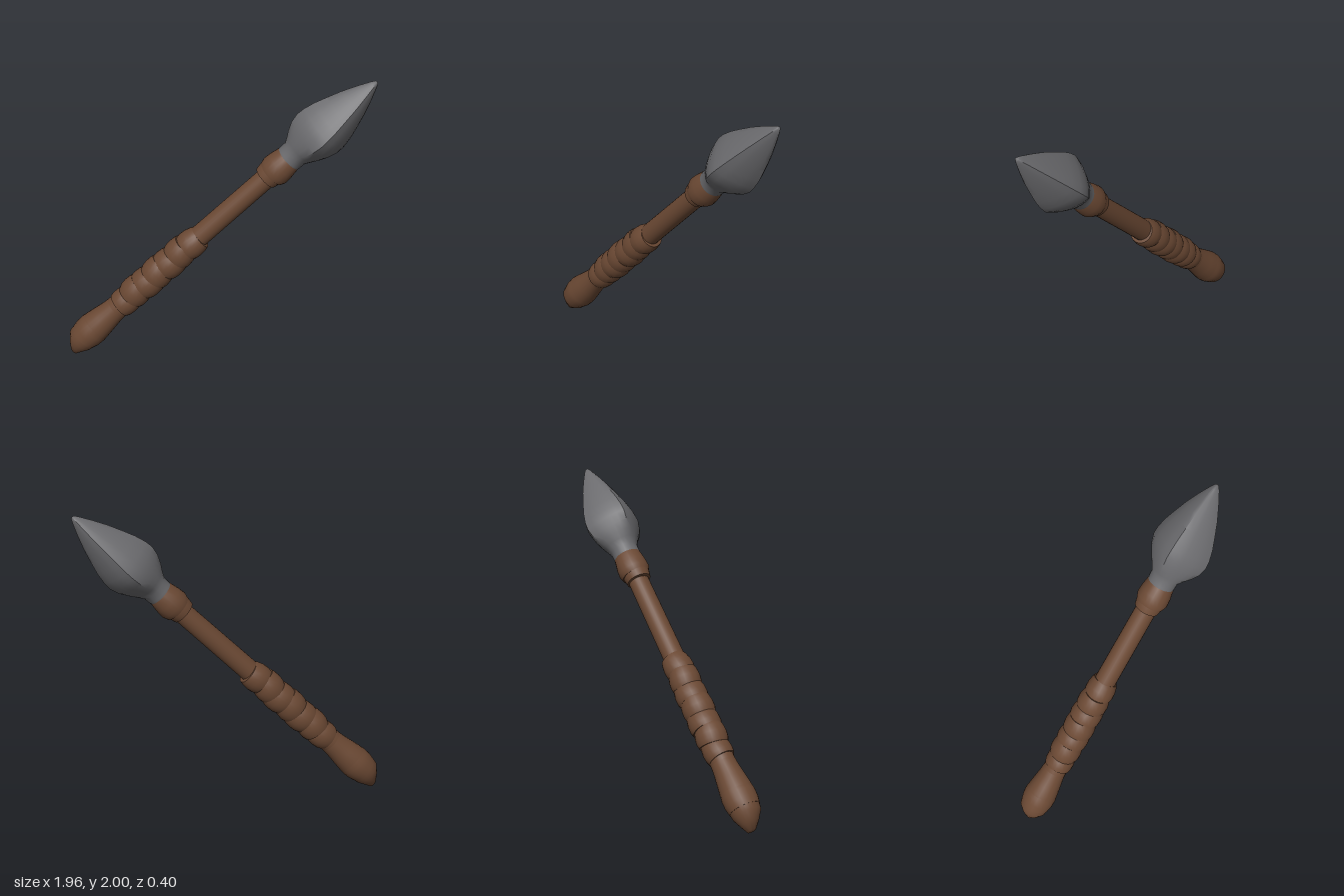
import * as THREE from 'three';
import { mergeVertices, toCreasedNormals } from 'three/addons/utils/BufferGeometryUtils.js';

const SIDES = 24;

// Turned part from [radius, height] pairs, with an optional vertex rule
function turned(profile, rule, crease = 0.7) {
  let geo = new THREE.LatheGeometry(profile.map(([r, y]) => new THREE.Vector2(r, y)), SIDES);
  geo.deleteAttribute('uv');
  geo.deleteAttribute('normal');
  if (rule) {
    const p = geo.attributes.position;
    const v = new THREE.Vector3();
    for (let i = 0; i < p.count; i++) {
      v.fromBufferAttribute(p, i);
      rule(v);
      p.setXYZ(i, v.x, v.y, v.z);
    }
  }
  geo = mergeVertices(geo, 1e-5);
  return toCreasedNormals(geo, crease);
}

export function createModel() {
  const wood = new THREE.MeshStandardMaterial({ color: 0x6a4833 });
  wood.name = 'brownWood';
  const stone = new THREE.MeshStandardMaterial({ color: 0x69696c });
  stone.name = 'greyStone';

  // Built upright along y, then leaned over as a whole
  const spear = new THREE.Group();
  spear.name = 'spear';
  const add = (name, geo, mat) => {
    const mesh = new THREE.Mesh(geo, mat);
    mesh.name = name;
    spear.add(mesh);
    return mesh;
  };

  // Shaft, slightly thicker towards the butt
  add('shaft', turned([[0, -1.2], [0.082, -1.2], [0.08, -0.85], [0.07, -0.2], [0.066, 0.6], [0, 0.6]]), wood);

  // Butt: blunt, lopsided cone with a swollen collar
  add('butt', turned(
    [[0, -1.372], [0.028, -1.368], [0.06, -1.325], [0.093, -1.27], [0.1, -1.22], [0.107, -1.15],
      [0.104, -1.1], [0.094, -1.03], [0.084, -0.96], [0.078, -0.88], [0, -0.88]],
    (v) => { if (v.y < -1.3) v.x += 0.03 * Math.min(1, (-1.3 - v.y) / 0.06); }, 0.9), wood);
  const buttBand = add('buttBand', turned(
    [[0.07, -1.24], [0.1, -1.235], [0.109, -1.19], [0.11, -1.14], [0.1, -1.08], [0.07, -1.075]]), wood);
  buttBand.scale.set(0.99, 1, 1);

  // Grip: overlapping leather turns, each a little tilted
  const radii = [0.094, 0.102, 0.104, 0.104, 0.103, 0.101, 0.096];
  radii.forEach((r, i) => {
    const turn = add('gripWrap', turned([
      [0.06, -0.066], [r - 0.008, -0.064], [r, -0.035], [r, 0.005],
      [r - 0.008, 0.045], [r - 0.016, 0.066], [0.06, 0.068]]), wood);
    turn.position.set(i % 2 ? -0.004 : 0.004, -0.82 + i * 0.103, 0);
    turn.rotation.z = i % 2 ? 0.16 : -0.1;
    turn.rotation.x = i % 3 ? 0.05 : -0.05;
  });

  // Binding below the head: two stepped bands
  const lower = add('lowerBinding', turned(
    [[0.06, 0.455], [0.08, 0.46], [0.088, 0.5], [0.09, 0.55], [0.06, 0.57]]), wood);
  lower.position.x = -0.005;
  add('upperBinding', turned(
    [[0.06, 0.495], [0.092, 0.505], [0.104, 0.54], [0.1, 0.59], [0.09, 0.65], [0.082, 0.675], [0, 0.68]]), wood);

  // Head: leaf outline with a rounded diamond cross-section
  const power = 1.27;
  const diamond = (v) => {
    const r = Math.hypot(v.x, v.z);
    if (r < 1e-6) return;
    const c = Math.abs(v.x) / r, s = Math.abs(v.z) / r;
    const full = 1 / Math.pow(c ** power + s ** power, 1 / power);
    // Round at the neck, diamond further up
    const k = THREE.MathUtils.smoothstep(v.y, 0.68, 0.84);
    const f = 1 + (full - 1) * k;
    v.x *= f * (1 - 0.05 * k);
    v.z *= f;
  };
  add('head', turned(
    [[0, 0.62], [0.084, 0.63], [0.09, 0.67], [0.092, 0.71], [0.118, 0.75], [0.15, 0.79], [0.182, 0.845],
      [0.198, 0.905], [0.194, 0.96], [0.177, 1.03], [0.148, 1.11], [0.113, 1.2], [0.07, 1.29],
      [0.03, 1.365], [0.014, 1.39], [0, 1.396]], diamond, 0.9), stone);

  // Lean towards the model's left
  spear.rotation.z = -Math.PI / 4;
  spear.position.set(-0.009, 1.011, 0);

  const model = new THREE.Group();
  model.name = 'stoneSpear';
  model.add(spear);
  return model;
}
